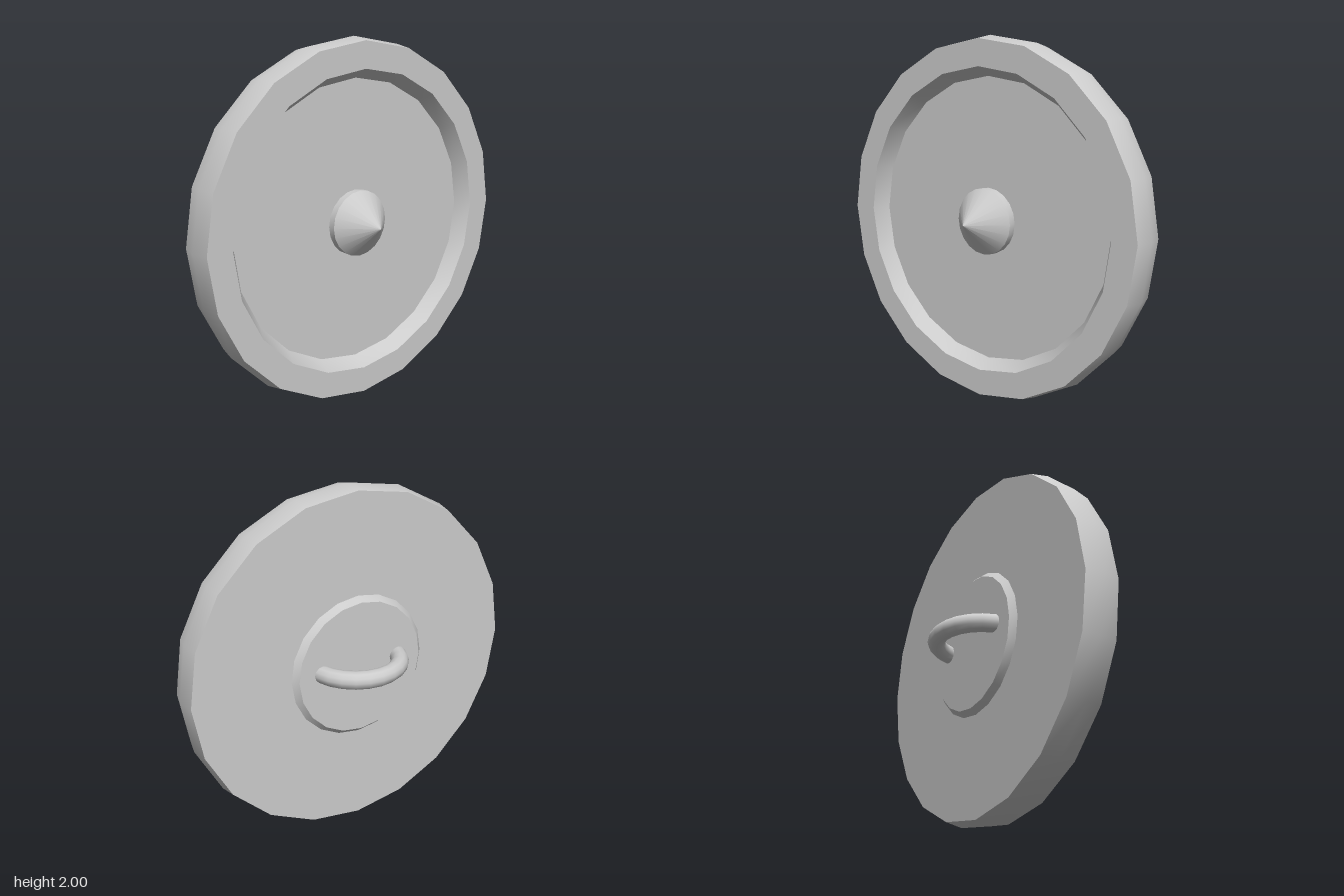
import * as THREE from 'three';
import { toCreasedNormals } from 'three/addons/utils/BufferGeometryUtils.js';

const SIDES = 20;

export function createModel() {
  const model = new THREE.Group();
  const material = new THREE.MeshStandardMaterial({ color: 0xcccccc });

  const add = (name, geometry) => {
    const mesh = new THREE.Mesh(geometry, material);
    mesh.name = name;
    mesh.position.y = 1;
    model.add(mesh);
    return mesh;
  };

  // Turned part around the x axis; profile is [radius, x] from back to front
  const turned = (name, profile) => {
    const points = profile.map(([r, x]) => new THREE.Vector2(r, x));
    const geometry = new THREE.LatheGeometry(points, SIDES).rotateZ(-Math.PI / 2);
    return add(name, toCreasedNormals(geometry, Math.PI / 6));
  };

  // Shield body: flat back, slightly crowned edge, raised rim, recessed face
  turned('shieldBody', [
    [0, -0.035], [0.98, -0.035], [1, 0.065], [0.98, 0.165],
    [0.835, 0.165], [0.785, 0.082], [0, 0.082],
  ]);

  // Pointed boss in the middle of the face
  turned('boss', [[0.183, 0.075], [0.183, 0.123], [0, 0.295]]);

  // Bevelled plate on the back
  turned('backPlate', [[0, -0.068], [0.385, -0.068], [0.415, -0.035], [0.415, -0.02]]);

  // Half-ring handle, its ends buried in the body
  const handle = new THREE.TorusGeometry(0.25, 0.05, 12, 12, Math.PI);
  handle.rotateZ(Math.PI / 2).rotateX(Math.PI / 2);
  add('handle', handle).position.y = 1.02;

  return model;
}
